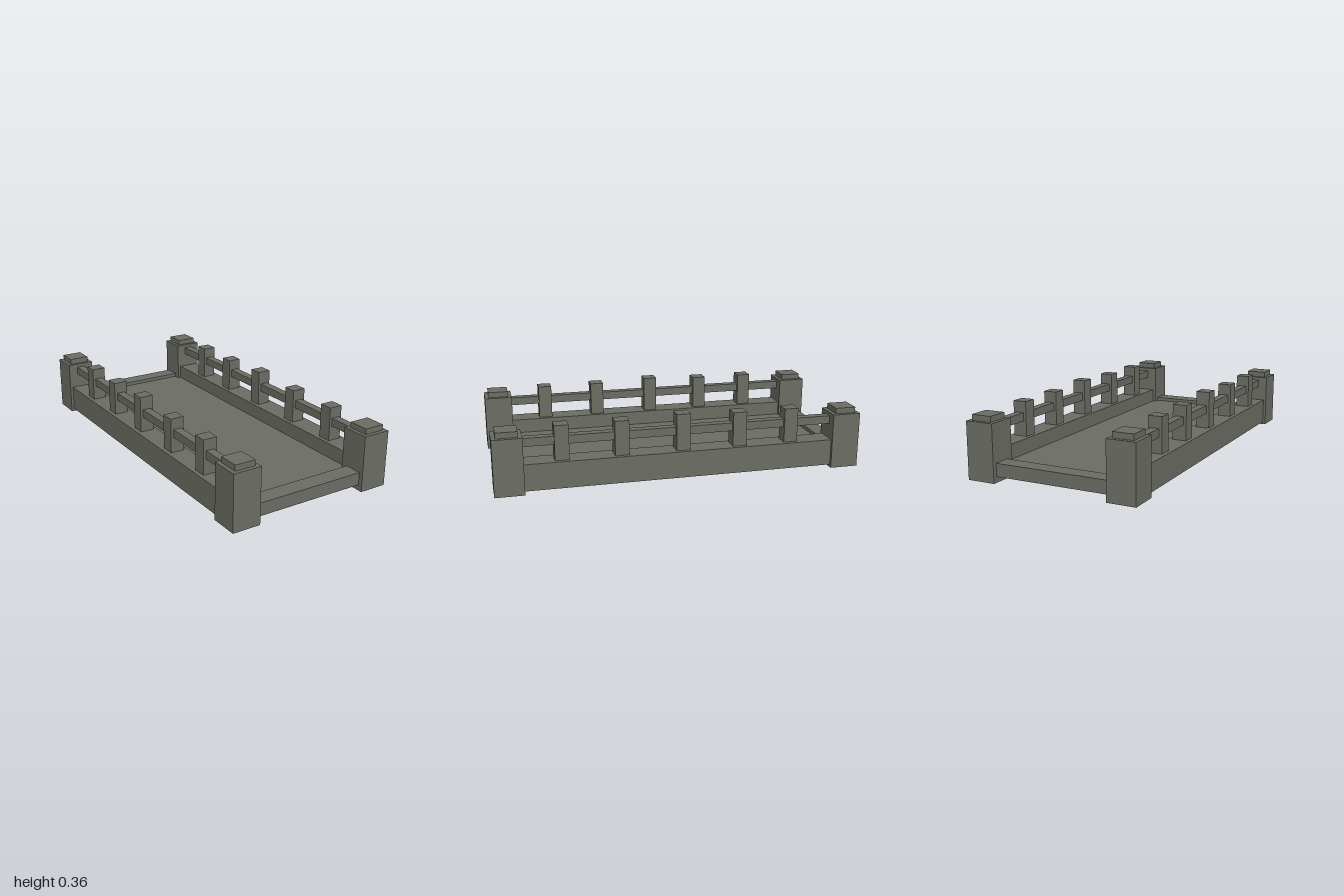
import * as THREE from 'three';

export function createModel() {
  const model = new THREE.Group();
  model.name = 'bridge';
  const stone = new THREE.MeshStandardMaterial({ color: 0x6b6d64 });
  stone.name = 'grey stone';

  // Box given by its extents along each axis
  function block(name, [x0, x1], [y0, y1], [z0, z1]) {
    const mesh = new THREE.Mesh(new THREE.BoxGeometry(x1 - x0, y1 - y0, z1 - z0), stone);
    mesh.name = name;
    mesh.position.set((x0 + x1) / 2, (y0 + y1) / 2, (z0 + z1) / 2);
    model.add(mesh);
  }
  const around = (centre, size) => [centre - size / 2, centre + size / 2];

  // Walkway and its raised end sills
  block('deck', [-0.337, 0.337], [0.029, 0.08], [-0.884, 0.884]);
  block('frontSill', [-0.337, 0.337], [0.031, 0.101], [0.88, 0.976]);
  block('backSill', [-0.337, 0.337], [0.031, 0.101], [-0.976, -0.884]);

  const balusters = [[-0.611, 0.349], [-0.317, 0.349], [-0.003, 0.362], [0.329, 0.349], [0.644, 0.349]];

  for (const [side, s] of [['left', 1], ['right', -1]]) {
    const x = 0.398 * s;
    // Side beam and handrail
    block(side + 'Beam', around(x, 0.122), [0.015, 0.16], [-0.85, 0.85]);
    block(side + 'Rail', around(x, 0.046), [0.243, 0.288], [-0.85, 0.85]);

    // Balusters, the middle one slightly taller
    for (const [z, top] of balusters) {
      block(side + 'Baluster', around(x, 0.077), [0.155, top], around(z, 0.076));
    }

    // Corner pillars with caps
    for (const [end, e] of [['Front', 1], ['Back', -1]]) {
      const z = 0.922 * e;
      block(side + end + 'Pillar', around(0.397 * s, 0.156), [0, 0.307], around(z, 0.156));
      block(side + end + 'Cap', around(0.397 * s, 0.114), [0.3, 0.338], around(z, 0.114));
    }
  }
  return model;
}
